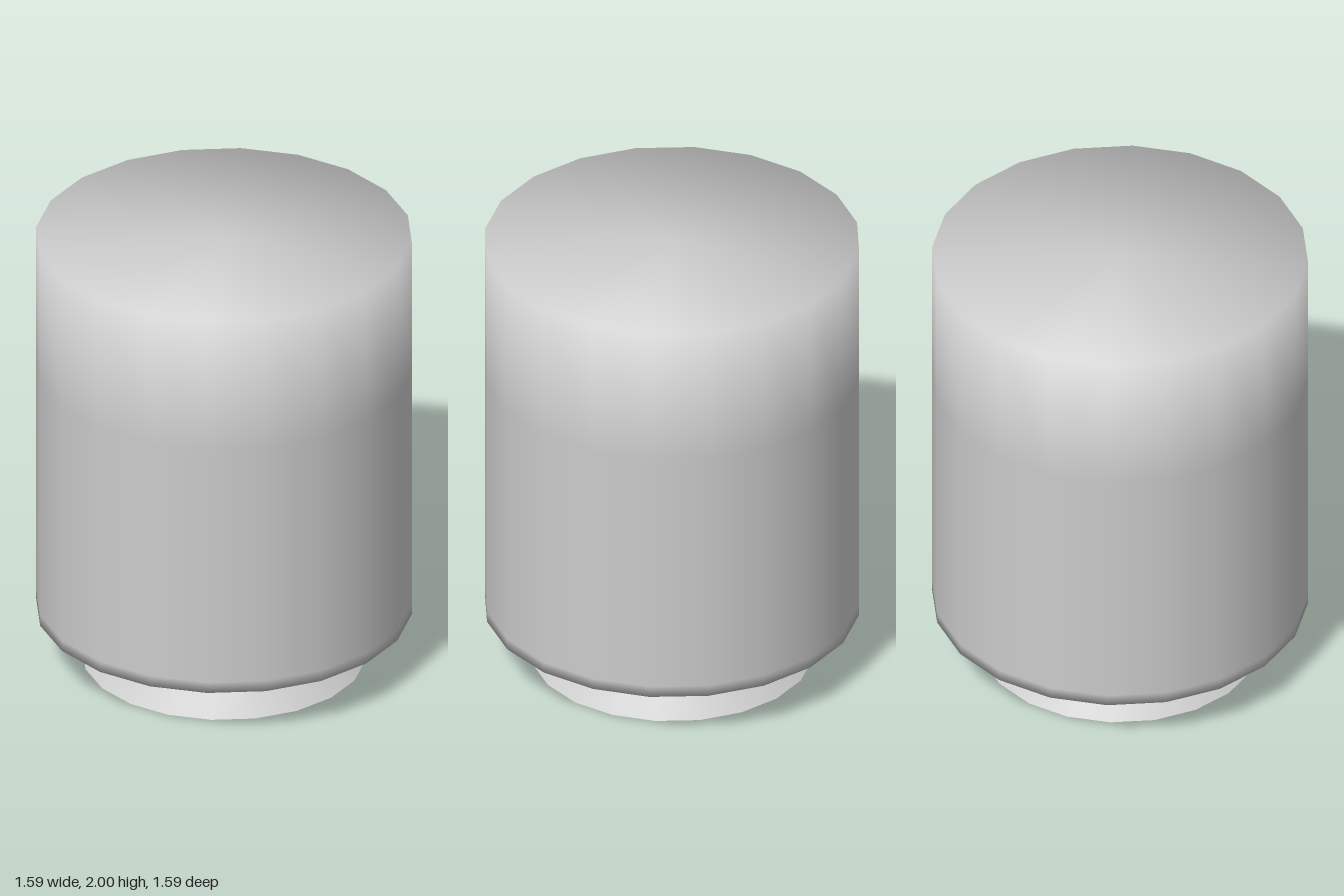
import * as THREE from 'three';

const SIDES = 20;

// Turns a profile of [radius, height] points, listed bottom to top, into a smooth 20-sided part.
function turned(name, profile) {
  const points = profile.map(([r, y]) => new THREE.Vector2(r, y));
  const mesh = new THREE.Mesh(
    new THREE.LatheGeometry(points, SIDES),
    new THREE.MeshStandardMaterial({ color: 0xcccccc })
  );
  mesh.name = name;
  return mesh;
}

export function createModel() {
  const model = new THREE.Group();
  model.name = 'footedCylinder';

  // Hollow flared foot: ceiling, inner cone, thin lip, outer cone, short neck
  model.add(turned('flaredFoot', [
    [0, 0.17], [0.34, 0.17], [0.58, 0], [0.6, 0], [0.365, 0.18], [0.365, 0.23],
  ]));

  // Closed body: underside, wall with support loops for soft shading, flat top
  model.add(turned('body', [
    [0.365, 0.23], [0.797, 0.23], [0.797, 0.28], [0.797, 1.38], [0.797, 2], [0, 2],
  ]));

  return model;
}
